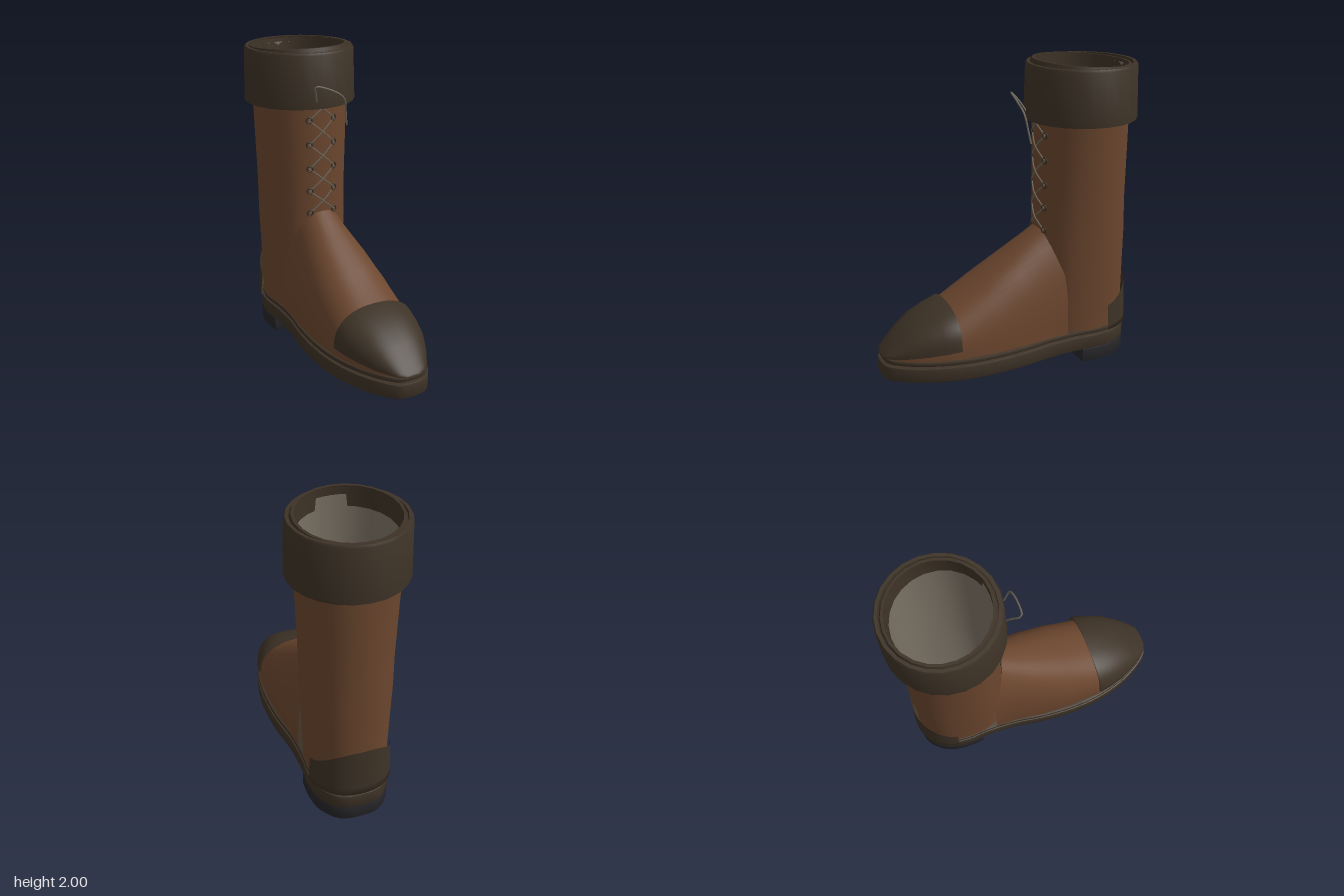
import * as THREE from 'three';
import { mergeVertices, toCreasedNormals } from 'three/addons/utils/BufferGeometryUtils.js';

const mat = (name, color) => new THREE.MeshStandardMaterial({ name, color, side: THREE.DoubleSide });
const leather = mat('brownLeather', 0x6b462e);
const trim = mat('darkTrim', 0x3d3226);
const rubber = mat('blackRubber', 0x26262a);
const lining = mat('greyLining', 0x7a7164);
const lace = mat('laceGrey', 0x6f695c);

const LEG_Z = -0.513;

// Skins a surface over rows of points
function loft(rows) {
  const n = rows[0].length, index = [];
  for (let i = 0; i < rows.length - 1; i++) {
    for (let j = 0; j < n - 1; j++) {
      const a = i * n + j, b = a + 1, c = a + n, d = c + 1;
      index.push(a, c, b, b, c, d);
    }
  }
  const g = new THREE.BufferGeometry().setFromPoints(rows.flat());
  g.setIndex(index);
  const merged = mergeVertices(g);
  merged.computeVertexNormals();
  return merged;
}

const power = (v, p) => Math.sign(v) * Math.abs(v) ** (2 / p);

// Point on the leg tube at an angle and height, pushed out by off
function legPoint(a, y, off = 0) {
  const rx = 0.245 + 0.04 * (y - 0.2) + off;
  const p = y < 1 ? 2.3 : 2.1;
  return new THREE.Vector3(rx * power(Math.cos(a), p), y, LEG_Z + (0.303 + off) * power(Math.sin(a), p));
}

function legTube(y0, y1, off) {
  const rows = [];
  for (let i = 0; i <= 8; i++) {
    const y = y0 + (y1 - y0) * i / 8;
    rows.push(Array.from({ length: 41 }, (_, j) => legPoint(j / 20 * Math.PI, y, off)));
  }
  return loft(rows);
}

// Arched cross-sections: [z at base, z at top, half width, base y, top y]
function arches(sections) {
  return loft(sections.map(([zb, zt, w, yb, yt]) => Array.from({ length: 29 }, (_, j) => {
    const t = Math.PI * (1 - j / 28), f = power(Math.sin(t), 2.4);
    return new THREE.Vector3(w * power(Math.cos(t), 2.4), yb + (yt - yb) * f, zb + (zt - zb) * f ** 4);
  })));
}

// Right half of the sole from toe to heel: [x, z]
const HALF = [[0.1, 0.855], [0.19, 0.74], [0.26, 0.58], [0.3, 0.4], [0.31, 0.22], [0.295, 0],
  [0.262, -0.2], [0.25, -0.4], [0.255, -0.56], [0.225, -0.7], [0.13, -0.81]];
function solePoints() {
  const left = HALF.map(([x, z]) => new THREE.Vector2(x, -z));
  const right = HALF.map(([x, z]) => new THREE.Vector2(-x, -z)).reverse();
  const all = [new THREE.Vector2(0, -0.875), ...left, new THREE.Vector2(0, 0.832), ...right, new THREE.Vector2(0, -0.875)];
  return new THREE.SplineCurve(all).getPoints(96);
}

// Flat slab with a slightly rounded edge
function slab(points, y0, y1, bevel) {
  const g = new THREE.ExtrudeGeometry(new THREE.Shape(points), {
    depth: y1 - y0 - 2 * bevel, bevelThickness: bevel, bevelSize: bevel, bevelOffset: -bevel, bevelSegments: 2,
  });
  g.rotateX(-Math.PI / 2).translate(0, y0 + bevel, 0);
  return toCreasedNormals(g, 0.7);
}

// Ring with a closed rectangular profile
function band(rBottom, rTop, thick, y0, y1) {
  const pts = [[rBottom - thick, y0], [rBottom, y0], [rBottom, y0 + 0.015], [rTop, y1 - 0.015], [rTop - 0.008, y1],
    [rTop - thick, y1], [rBottom - thick, y0]].map(([x, y]) => new THREE.Vector2(x, y));
  return toCreasedNormals(new THREE.LatheGeometry(pts, 24), 0.6);
}

export function createModel() {
  const boot = new THREE.Group();
  boot.name = 'boot';
  const add = (name, geometry, material, parent = boot) => {
    const m = new THREE.Mesh(geometry, material);
    m.name = name;
    parent.add(m);
    return m;
  };

  // Sole, welt and heel
  const outline = solePoints();
  add('sole', slab(outline, 0.093, 0.19, 0.01), trim);
  add('welt', slab(outline.map(p => p.clone().multiplyScalar(0.985)), 0.2, 0.23, 0.008), trim);
  add('heel', slab(outline.filter(p => p.y > 0.44), 0, 0.1, 0.01), rubber);

  // Leg, its lining and the insole
  add('shaft', legTube(0.22, 1.93, 0), leather);
  add('shaftLining', legTube(0.235, 1.94, -0.012), lining);
  const insole = add('insole', new THREE.CircleGeometry(1, 32), leather);
  insole.rotation.x = -Math.PI / 2;
  insole.scale.set(0.235, 0.29, 1);
  insole.position.set(0, 0.245, LEG_Z);
  const pad = add('heelPad', new THREE.CircleGeometry(1, 20, 0.56, Math.PI - 1.12), trim);
  pad.rotation.x = -Math.PI / 2;
  pad.scale.copy(insole.scale);
  pad.position.set(0, 0.25, LEG_Z);

  // Foot upper
  add('footUpper', arches([
    [-0.33, -0.205, 0.245, 0.225, 0.925], [-0.2, -0.14, 0.25, 0.225, 0.88], [0, 0, 0.278, 0.225, 0.785],
    [0.2, 0.2, 0.29, 0.225, 0.66], [0.42, 0.42, 0.28, 0.225, 0.515], [0.6, 0.6, 0.238, 0.225, 0.44],
    [0.73, 0.73, 0.18, 0.225, 0.35], [0.81, 0.81, 0.12, 0.225, 0.285], [0.855, 0.855, 0.06, 0.225, 0.235],
  ]), leather);

  // Toe cap
  add('toeCap', arches([
    [0.428, 0.428, 0.27, 0.29, 0.505], [0.43, 0.43, 0.292, 0.29, 0.522], [0.53, 0.53, 0.272, 0.28, 0.487],
    [0.63, 0.63, 0.238, 0.268, 0.446], [0.73, 0.73, 0.187, 0.253, 0.375], [0.81, 0.81, 0.133, 0.243, 0.3],
    [0.85, 0.85, 0.095, 0.237, 0.26], [0.868, 0.868, 0.05, 0.232, 0.24],
  ]), trim);

  // Heel counter, rising towards the back
  const rows = [];
  for (let i = 0; i <= 7; i++) {
    rows.push(Array.from({ length: 33 }, (_, j) => {
      const a = -Math.PI + 0.27 + (Math.PI - 0.54) * j / 32;
      const s = Math.min(1, Math.max(0, (LEG_Z - legPoint(a, 0.3).z - 0.1) / 0.2));
      const k = i ? (i - 1) / 6 : 0;
      return legPoint(a, 0.215 + (0.175 + 0.15 * s ** 1.5) * k, i ? 0.032 - 0.014 * k : 0);
    }));
  }
  add('heelCounter', loft(rows), trim);

  // Turned-down cuff and inner collar
  add('cuff', band(0.36, 0.352, 0.028, 1.622, 1.97), trim).position.z = LEG_Z;
  const collar = add('innerCollar', band(0.315, 0.32, 0.025, -0.12, 0.01), trim);
  collar.position.set(0, 1.967, LEG_Z);
  collar.rotation.x = -0.06;

  // Eyelets and crossed laces
  const lacing = new THREE.Group();
  lacing.name = 'lacing';
  boot.add(lacing);
  const tube = (pts, r) => new THREE.TubeGeometry(new THREE.CatmullRomCurve3(pts.map(p => new THREE.Vector3(...p))), 20, r, 6);
  const levels = [0.92, 1.07, 1.22, 1.38, 1.54, 1.69];
  levels.forEach((y, i) => {
    for (const side of [-1, 1]) {
      const eyelet = add('eyelet', new THREE.TorusGeometry(0.018, 0.006, 6, 14), trim, lacing);
      eyelet.position.set(side * 0.088, y, -0.221);
      eyelet.rotation.y = side * 0.3;
      if (i < levels.length - 1) {
        const z = side * 0.004;
        add('laceCross', tube([[side * 0.09, y, -0.22], [0, (y + levels[i + 1]) / 2, -0.201 + z],
          [-side * 0.09, levels[i + 1], -0.22]], 0.005), lace, lacing);
      }
    }
  });

  // Loose lace end hanging in front of the cuff
  add('looseLace', tube([[-0.06, 1.66, -0.17], [-0.09, 1.73, -0.13], [-0.115, 1.785, -0.085], [0, 1.75, -0.072],
    [0.085, 1.69, -0.08], [0.105, 1.6, -0.095], [0.12, 1.51, -0.11]], 0.006), lace, lacing);

  return boot;
}
